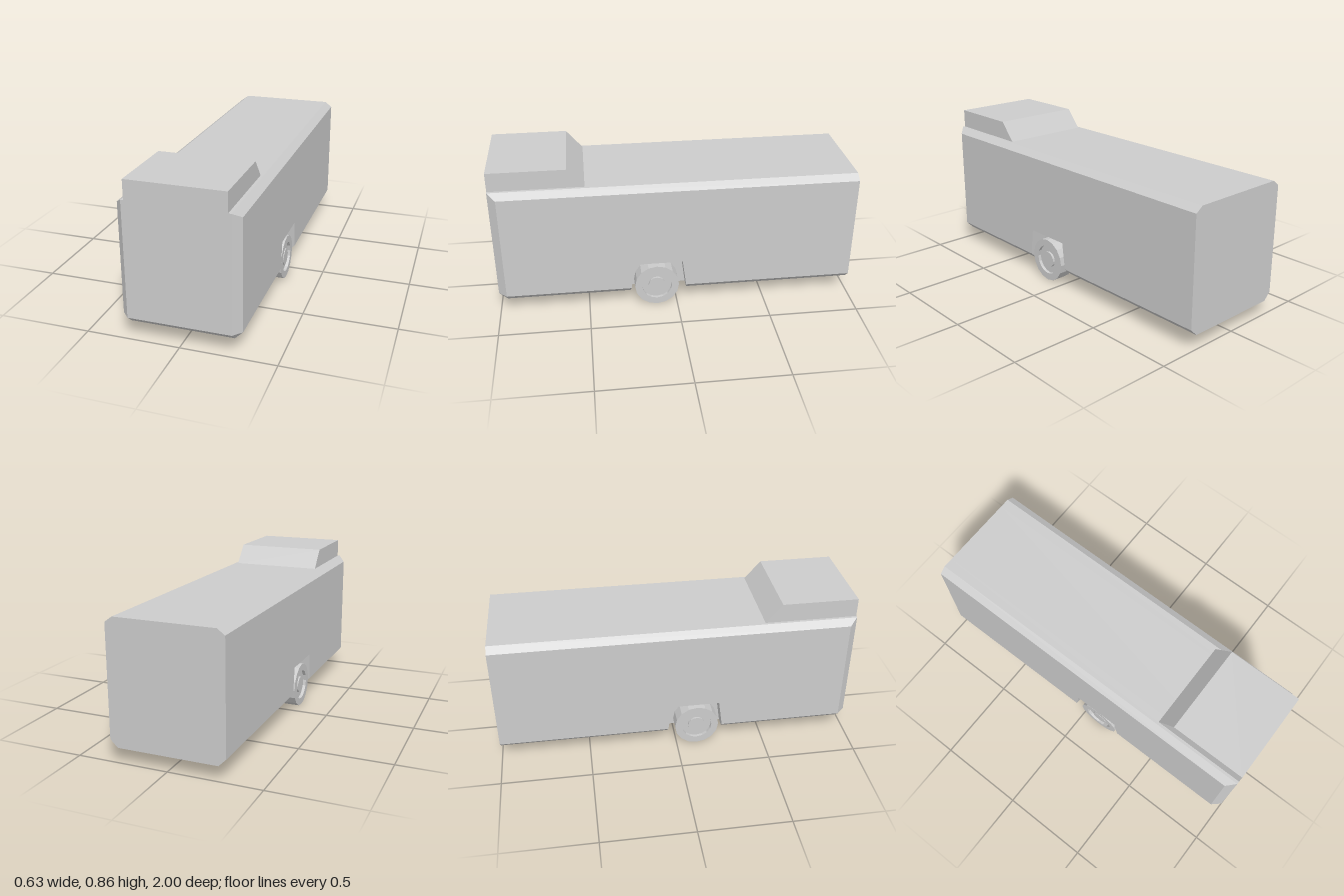
import * as THREE from 'three';

const material = new THREE.MeshStandardMaterial({ color: 0xcccccc, flatShading: true });

function mesh(name, geometry) {
  const m = new THREE.Mesh(geometry, material);
  m.name = name;
  return m;
}

// Joins side profiles of [z, y] points, each at its own x, into a closed solid.
function loftAcross(sections) {
  const pos = [];
  const index = [];
  const n = sections[0].points.length;
  for (const { x, points } of sections) for (const [z, y] of points) pos.push(x, y, z);
  for (let s = 0; s < sections.length - 1; s++) {
    for (let i = 0; i < n; i++) {
      const j = (i + 1) % n;
      const a = s * n, b = a + n;
      index.push(a + i, b + i, b + j, a + i, b + j, a + j);
    }
  }
  const caps = THREE.ShapeUtils.triangulateShape(
    sections[0].points.map(([z, y]) => new THREE.Vector2(z, y)), []);
  const last = (sections.length - 1) * n;
  for (const [a, b, c] of caps) index.push(a, b, c, last + a, last + c, last + b);
  const g = new THREE.BufferGeometry();
  g.setAttribute('position', new THREE.Float32BufferAttribute(pos, 3));
  g.setIndex(index);
  const flat = g.toNonIndexed();
  flat.computeVertexNormals();
  return flat;
}

// Box body with bevelled edges and a wheel arch cut into each side
function createBody() {
  const profile = (archTop) => [
    [-1, 0.08], [-0.055, 0.08], [-0.03, archTop], [0.24, archTop], [0.265, 0.08],
    [0.955, 0.08], [1, 0.12], [1, 0.75], [-1, 0.75],
  ];
  const outer = [
    [-1, 0.12], [-0.05, 0.12], [-0.03, 0.275], [0.24, 0.275], [0.26, 0.12],
    [0.955, 0.12], [0.955, 0.12], [0.955, 0.72], [-1, 0.72],
  ];
  const half = [
    { x: 0.215, points: profile(0.08) },
    { x: 0.215, points: profile(0.275) },
    { x: 0.272, points: profile(0.275) },
    { x: 0.313, points: outer.map((p) => p) },
  ];
  // The outermost cap needs distinct corners
  half[3].points[6] = [0.955, 0.121];
  const mirrored = half.map(({ x, points }) => ({ x: -x, points })).reverse();
  return mesh('body', loftAcross([...mirrored, ...half]));
}

// Raised roof unit, sloping at its rear
function createRoofUnit() {
  const points = [[0.49, 0.75], [1, 0.75], [1, 0.855], [0.58, 0.855]];
  return mesh('roofUnit', loftAcross([{ x: -0.257, points }, { x: 0.257, points }]));
}

// Wheel with a sunken rim and a raised hub on both faces
function createWheel(side) {
  const w = 0.0415, sunk = 0.024, hub = 0.036;
  const face = [[0, hub], [0.047, hub], [0.047, sunk], [0.085, sunk], [0.085, w], [0.125, w]];
  const profile = [
    ...face.map(([r, y]) => new THREE.Vector2(r, -y)),
    ...face.map(([r, y]) => new THREE.Vector2(r, y)).reverse(),
  ];
  const wheel = mesh(side > 0 ? 'leftWheel' : 'rightWheel', new THREE.LatheGeometry(profile, 16).rotateZ(Math.PI / 2));
  wheel.position.set(side * 0.2665, 0.125, 0.115);
  return wheel;
}

export function createModel() {
  const model = new THREE.Group();
  model.name = 'trailer';
  model.add(createBody(), createRoofUnit(), createWheel(1), createWheel(-1));
  return model;
}
